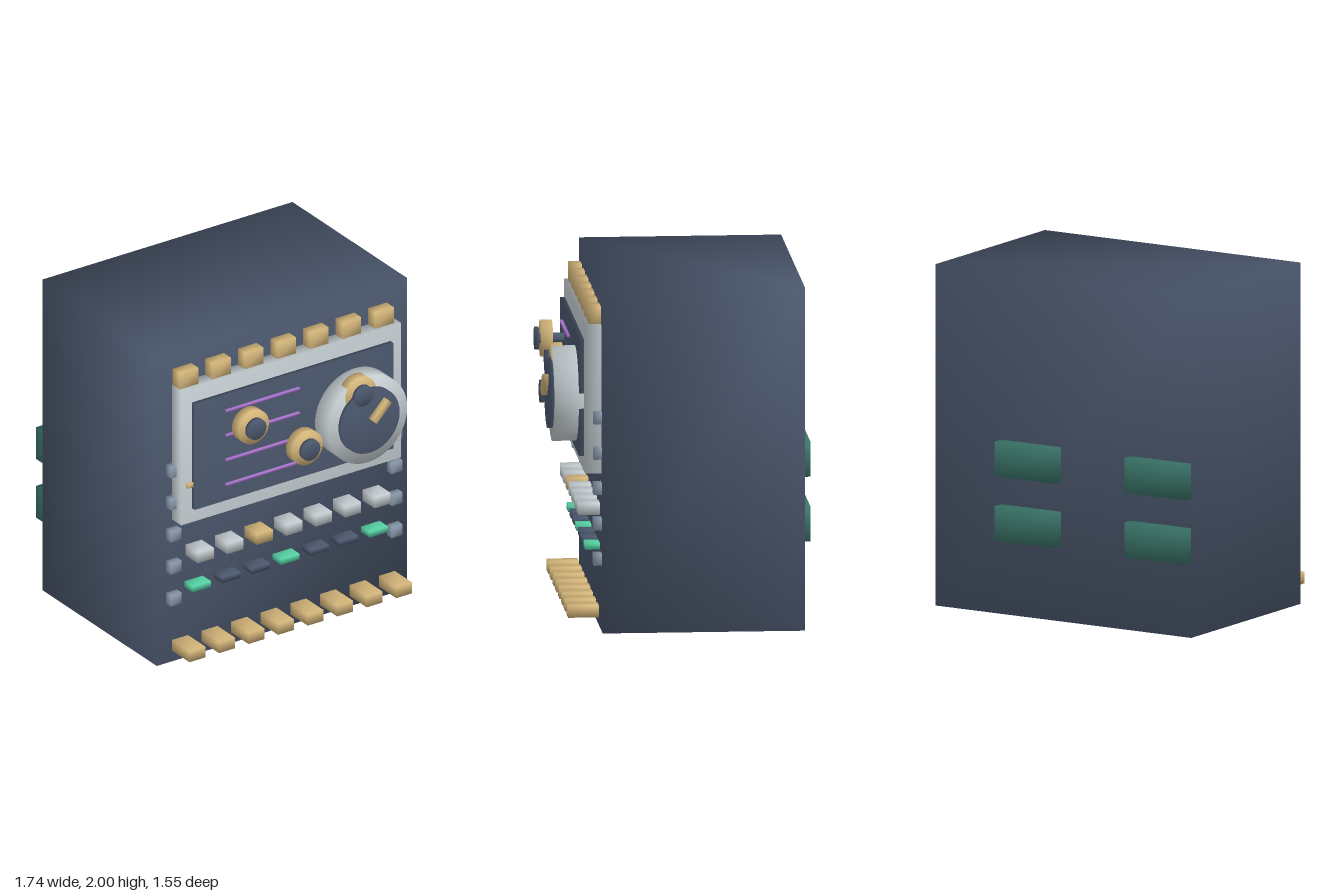
import * as THREE from 'three';
import { mergeVertices } from 'three/addons/utils/BufferGeometryUtils.js';

const paint = (name, color) => Object.assign(new THREE.MeshStandardMaterial({ color }), { name });

export function createModel() {
  const navy = paint('navy', 0x4b576d);
  const silver = paint('silver', 0xc6ced2);
  const brass = paint('brass', 0xd6b77b);
  const steel = paint('steel', 0x8998aa);
  const teal = paint('teal', 0x3b766a);
  const mint = paint('mint', 0x55cfa2);
  const violet = paint('violet', 0xa673cc);

  const model = new THREE.Group();
  model.name = 'controlCabinet';

  // Share corner vertices so that shading flows softly around the edges
  const soften = (geometry) => {
    geometry.deleteAttribute('normal');
    geometry.deleteAttribute('uv');
    const merged = mergeVertices(geometry, 1e-4);
    merged.computeVertexNormals();
    return merged;
  };
  const add = (name, geometry, material, parent = model) => {
    const mesh = new THREE.Mesh(geometry, material);
    mesh.name = name;
    parent.add(mesh);
    return mesh;
  };
  // Box from a centre (x, y), a size (w, h) and a depth range
  const box = (name, material, x, y, w, h, z0, z1, parent) => {
    const mesh = add(name, soften(new THREE.BoxGeometry(w, h, z1 - z0)), material, parent);
    mesh.position.set(x, y, (z0 + z1) / 2);
    return mesh;
  };
  // Disc facing forwards
  const disc = (name, material, x, y, r, z0, z1, parent) => {
    const geometry = soften(new THREE.CylinderGeometry(r, r, z1 - z0, 64).rotateX(Math.PI / 2));
    const mesh = add(name, geometry, material, parent);
    mesh.position.set(x, y, (z0 + z1) / 2);
    return mesh;
  };
  const group = (name) => {
    const g = new THREE.Group();
    g.name = name;
    model.add(g);
    return g;
  };

  // Cabinet, display frame and screen
  box('cabinet', navy, 0, 1, 1.74, 2, -0.71, 0.455);
  box('displayFrame', silver, 0, 1.347, 1.53, 0.865, 0.45, 0.549);
  box('screen', navy, 0, 1.345, 1.38, 0.68, 0.545, 0.578);
  box('screenLatch', brass, -0.705, 1.16, 0.05, 0.03, 0.54, 0.563);

  // Blocks along the top of the frame
  const crown = group('crownBlocks');
  for (let i = 0; i < 7; i++) box('crownBlock', brass, -0.695 + i * 0.2265, 1.83, 0.13, 0.105, 0.45, 0.526, crown);

  // Traces across the screen
  const traces = group('screenTraces');
  for (let i = 0; i < 4; i++) box('trace', violet, -0.225, 1.585 - i * 0.158, 0.51, 0.015, 0.57, 0.595, traces);

  // Main dial with its pointer
  const dial = group('mainDial');
  disc('dialRing', silver, 0.42, 1.325, 0.274, 0.55, 0.714, dial);
  disc('dialFace', navy, 0.42, 1.328, 0.204, 0.71, 0.74, dial);
  box('dialPointer', brass, 0.477, 1.386, 0.15, 0.042, 0.738, 0.777, dial).rotation.z = Math.PI / 4;

  // Small knobs
  for (const [x, y] of [[-0.375, 1.505], [0, 1.263], [0.37, 1.505]]) {
    const knob = group('knob');
    disc('knobBody', brass, x, y, 0.106, 0.65, 0.717, knob);
    disc('knobCap', navy, x, y, 0.065, 0.726, 0.75, knob);
    disc('knobStem', navy, x, y, 0.03, 0.57, 0.73, knob);
  }

  // Keys with a row of indicator lamps below
  const keys = group('keys');
  const lamps = group('indicatorLamps');
  for (let i = 0; i < 7; i++) {
    const x = (i - 3) * 0.205;
    box('key', i === 2 ? brass : silver, x, 0.691, 0.112, 0.068, 0.45, 0.58, keys);
    box('lamp', i % 3 === 0 ? mint : navy, x, 0.473, 0.128, 0.036, 0.45, 0.541, lamps);
  }

  // Studs down both sides
  const studs = group('sideStuds');
  for (const side of [-1, 1]) {
    for (let i = 0; i < 5; i++) box('stud', steel, side * 0.768, 1.243 - i * 0.206, 0.075, 0.07, 0.45, 0.502, studs);
  }

  // Row of pads along the bottom
  const pads = group('bottomPads');
  for (let i = 0; i < 8; i++) box('pad', brass, (i - 3.5) * 0.2055, 0.112, 0.11, 0.07, 0.47, 0.647, pads);

  // Vents on the back
  const vents = group('rearVents');
  for (const x of [-0.664, 0.22]) {
    for (const y of [0.919, 0.541]) box('vent', teal, x, y, 0.41, 0.203, -0.777, -0.58, vents);
  }

  return model;
}
